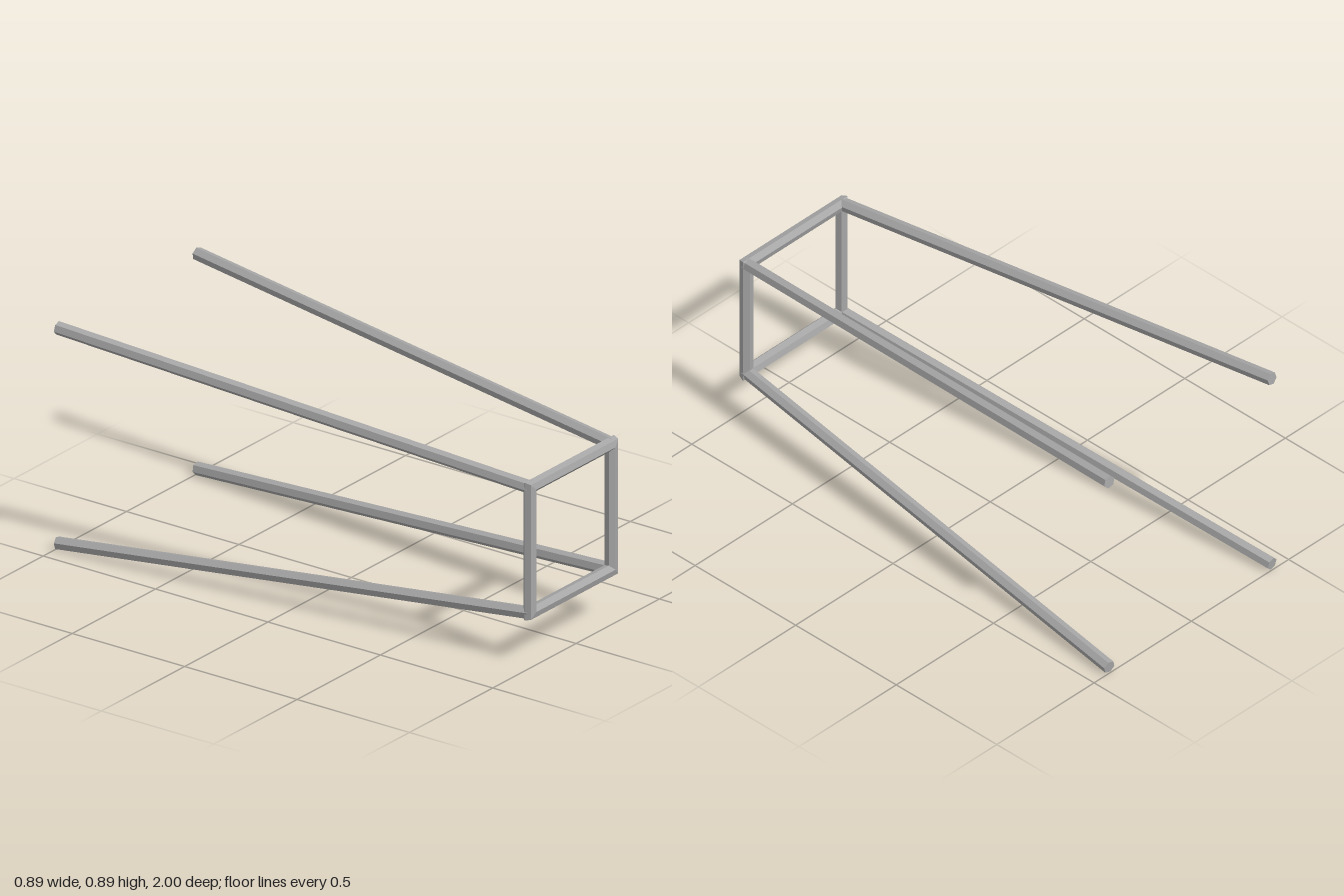
import * as THREE from 'three';

const R = 0.025;      // radius of the hexagonal bar
const HALF = 0.2445;  // half the frame, measured to bar centres
const MID = 0.443;    // height of the centre
const FRONT = 0.9755; // depth of the frame's centre line
const END = 0.4185;   // how far the rod ends spread from the centre

// Give every facet its own hard-edged normal
function faceted(geometry) {
  const g = geometry.toNonIndexed();
  g.computeVertexNormals();
  return g;
}

export function createModel() {
  const group = new THREE.Group();
  const grey = new THREE.MeshStandardMaterial({ color: 0xa6a6a6 });
  grey.name = 'metal grey';

  // Square front frame: hexagonal profile swept round four mitred corners
  const profile = [];
  for (let i = 0; i <= 6; i++) {
    const a = THREE.MathUtils.degToRad(-15 + 60 * i);
    profile.push(new THREE.Vector2(Math.SQRT2 * (HALF + R * Math.cos(a)), R * Math.sin(a)));
  }
  const ring = new THREE.LatheGeometry(profile, 4);
  ring.rotateY(Math.PI / 4);
  ring.rotateX(Math.PI / 2);
  const frame = new THREE.Mesh(faceted(ring), grey);
  frame.name = 'frontFrame';
  frame.position.set(0, MID, FRONT);
  group.add(frame);

  // Four rods spreading backwards from the corners, one edge facing outwards
  for (const sx of [-1, 1]) {
    for (const sy of [-1, 1]) {
      const start = new THREE.Vector3(sx * HALF, MID + sy * HALF, FRONT);
      const end = new THREE.Vector3(sx * END, MID + sy * END, -0.997);
      const along = end.clone().sub(start);
      const length = along.length();
      along.normalize();
      const outward = new THREE.Vector3(sx, sy, 0);
      outward.addScaledVector(along, -outward.dot(along)).normalize();
      const side = new THREE.Vector3().crossVectors(along, outward);

      const rod = new THREE.Mesh(faceted(new THREE.CylinderGeometry(R, R, length, 6)), grey);
      rod.name = (sy > 0 ? 'upper' : 'lower') + (sx > 0 ? 'Left' : 'Right') + 'Rod';
      rod.quaternion.setFromRotationMatrix(new THREE.Matrix4().makeBasis(side, along, outward));
      rod.position.copy(start).add(end).multiplyScalar(0.5);
      group.add(rod);
    }
  }
  return group;
}
